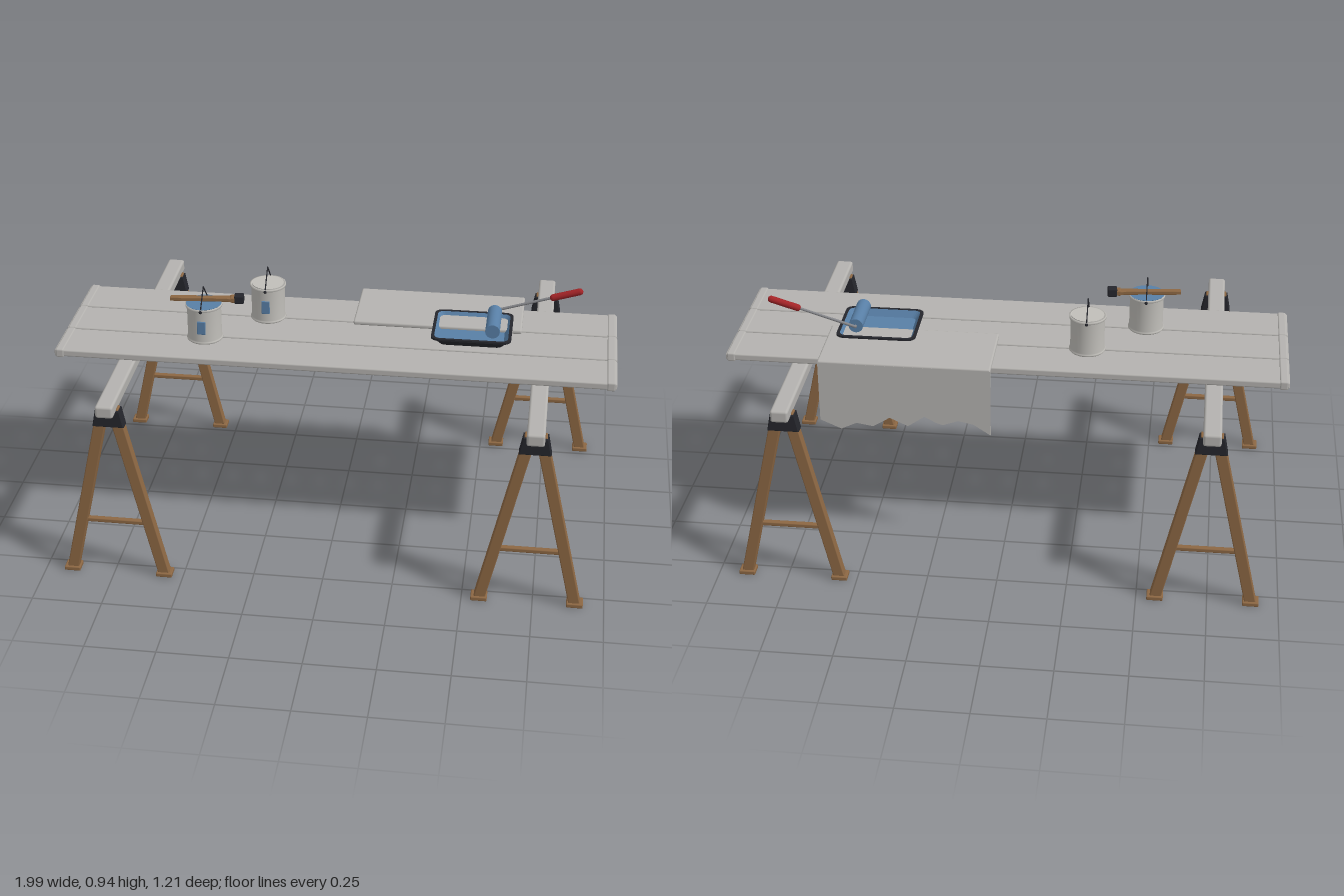
import * as THREE from 'three';
import { RoundedBoxGeometry } from 'three/addons/geometries/RoundedBoxGeometry.js';

const mat = (name, color, side = THREE.FrontSide) => {
  const m = new THREE.MeshStandardMaterial({ color, side });
  m.name = name;
  return m;
};

export function createModel() {
  const root = new THREE.Group();
  root.name = 'paintingTable';
  const board = mat('greyBoard', 0xb4b2af);
  const wood = mat('brownWood', 0x8c6743);
  const dark = mat('darkPlastic', 0x25262c, THREE.DoubleSide);
  const tin = mat('paleTin', 0xc0beb9);
  const cloth = mat('dustSheet', 0xb5b3b0, THREE.DoubleSide);
  const paint = mat('bluePaint', 0x587fa6, THREE.DoubleSide);
  const steel = mat('steelWire', 0x85868a);
  const red = mat('redGrip', 0xa32427);

  const add = (parent, name, geo, material, x = 0, y = 0, z = 0) => {
    const m = new THREE.Mesh(geo, material);
    m.name = name;
    m.position.set(x, y, z);
    parent.add(m);
    return m;
  };
  const group = (name, x = 0, y = 0, z = 0) => {
    const g = new THREE.Group();
    g.name = name;
    g.position.set(x, y, z);
    root.add(g);
    return g;
  };
  const box = (w, h, d, r = 0.004) => new RoundedBoxGeometry(w, h, d, 2, r);
  const V = (x, y, z) => new THREE.Vector3(x, y, z);
  // Places a y-aligned geometry between two points
  const span = (parent, name, make, material, a, b) => {
    const dir = b.clone().sub(a);
    const m = add(parent, name, make(dir.length()), material);
    m.position.copy(a).add(b).multiplyScalar(0.5);
    m.quaternion.setFromUnitVectors(V(0, 1, 0), dir.normalize());
    return m;
  };
  const rod = r => len => new THREE.CylinderGeometry(r, r, len, 10);

  // Planks with end bands
  for (const z of [-0.181, 0, 0.181]) {
    const plank = group('plank', 0, 0, z);
    add(plank, 'plankBoard', box(1.99, 0.026, 0.173, 0.006), board, 0, 0.727, 0);
    for (const s of [-1, 1])
      add(plank, 'endBand', box(0.03, 0.033, 0.178, 0.006), board, s * 0.975, 0.727, 0);
  }

  // Trestles: a rail carried by two A-frames
  const bracketShape = new THREE.Shape([
    new THREE.Vector2(-0.052, 0.61), new THREE.Vector2(0.052, 0.61),
    new THREE.Vector2(0.04, 0.67), new THREE.Vector2(-0.04, 0.67)]);
  const bracketGeo = new THREE.ExtrudeGeometry(bracketShape, {
    depth: 0.036, bevelSize: 0.003, bevelThickness: 0.003, bevelSegments: 1 });
  bracketGeo.translate(0, 0, -0.018);
  for (const x of [-0.735, 0.73]) {
    const trestle = group('trestle', x);
    add(trestle, 'rail', box(0.062, 0.045, 1.21, 0.009), board, 0, 0.688, 0);
    for (const z of [-0.54, 0.54]) {
      add(trestle, 'bracket', bracketGeo, dark, 0, 0, z);
      add(trestle, 'crossBar', box(0.225, 0.016, 0.02), wood, 0, 0.215, z);
      for (const s of [-1, 1]) {
        span(trestle, 'leg', l => box(0.04, l, 0.034), wood,
          V(s * 0.167, 0.01, z), V(s * 0.018, 0.675, z));
        add(trestle, 'foot', box(0.058, 0.016, 0.05), wood, s * 0.168, 0.008, z);
      }
    }
  }

  // Paint cans with wire handles
  const makeCan = (x, z, lid) => {
    const can = group('paintCan', x, 0.74, z);
    const profile = [[0, 0], [0.062, 0], [0.065, 0.003], [0.065, 0.008], [0.061, 0.011],
      [0.061, 0.126], [0.066, 0.129], [0.066, 0.137], [0.06, 0.137], [0.058, 0.131], [0, 0.131]];
    const pts = [];
    // Doubled points keep the edges crisp
    profile.forEach(([r, y]) => pts.push(new THREE.Vector2(r, y)));
    add(can, 'canBody', new THREE.LatheGeometry(pts, 32).toNonIndexed(), tin);
    add(can, 'canTop', new THREE.CylinderGeometry(lid === paint ? 0.064 : 0.058, 0.058, 0.006, 32), lid, 0, 0.1355, 0);
    add(can, 'label', box(0.03, 0.05, 0.008, 0.002), paint, 0, 0.066, 0.0615);
    for (const s of [-1, 1]) {
      span(can, 'wireHandle', rod(0.0022), dark, V(0, 0.132, s * 0.066), V(0, 0.2, 0));
      add(can, 'handleEar', new THREE.SphereGeometry(0.006, 10, 8), dark, 0, 0.13, s * 0.066);
    }
  };
  makeCan(-0.48, 0.1, paint);
  makeCan(-0.28, -0.093, tin);

  // Brush lying across the front can
  const brush = group('brush', -0.47, 0.889, 0.088);
  brush.rotation.y = 0.1;
  const handle = new THREE.Shape();
  handle.moveTo(-0.13, -0.007);
  handle.bezierCurveTo(-0.08, -0.015, -0.02, -0.004, 0.09, -0.014);
  handle.lineTo(0.09, 0.014);
  handle.bezierCurveTo(-0.02, 0.004, -0.08, 0.015, -0.13, 0.007);
  handle.closePath();
  const handleGeo = new THREE.ExtrudeGeometry(handle, {
    depth: 0.01, bevelSize: 0.002, bevelThickness: 0.002, bevelSegments: 2 });
  handleGeo.translate(0, 0, -0.005);
  add(brush, 'brushHandle', handleGeo, wood).rotation.x = -Math.PI / 2;
  add(brush, 'ferrule', box(0.018, 0.02, 0.032), wood, 0.093, 0, 0);
  add(brush, 'bristles', box(0.034, 0.03, 0.034), dark, 0.115, 0.001, 0);

  // Dust sheet: flat top and a hanging flap with a wavy hem
  const sheet = group('dustSheet');
  add(sheet, 'sheetTop', box(0.612, 0.017, 0.28, 0.007), cloth, 0.346, 0.755, -0.19);
  const flap = new THREE.Shape();
  flap.moveTo(0.65, 0.757);
  flap.lineTo(0.04, 0.757);
  [[0.04, 0.5], [0.1, 0.54], [0.155, 0.552], [0.21, 0.532], [0.235, 0.54], [0.275, 0.562], [0.335, 0.52],
    [0.4, 0.55], [0.46, 0.512], [0.52, 0.522], [0.575, 0.495], [0.65, 0.528]].forEach(p => flap.lineTo(...p));
  flap.closePath();
  add(sheet, 'sheetFlap', new THREE.ExtrudeGeometry(flap, { depth: 0.007, bevelEnabled: false }),
    cloth, 0, 0, -0.33);

  // Roller tray, lofted from rounded rectangles
  const ring = (w, d, r, y) => {
    const out = [];
    for (let c = 0; c < 4; c++)
      for (let i = 0; i <= 4; i++) {
        const a = (c + i / 4) * Math.PI / 2;
        const sx = c === 0 || c === 3 ? 1 : -1, sz = c < 2 ? 1 : -1;
        out.push([sx * (w / 2 - r) + r * Math.cos(a), y, sz * (d / 2 - r) + r * Math.sin(a)]);
      }
    return out;
  };
  const loft = rings => {
    const n = rings[0].length, pos = [];
    for (let k = 0; k + 1 < rings.length; k++)
      for (let i = 0; i < n; i++) {
        const j = (i + 1) % n, [a, b, c, d] = [rings[k][i], rings[k + 1][i], rings[k + 1][j], rings[k][j]];
        pos.push(...a, ...b, ...c, ...a, ...c, ...d);
      }
    const g = new THREE.BufferGeometry();
    g.setAttribute('position', new THREE.Float32BufferAttribute(pos, 3));
    g.computeVertexNormals();
    return g;
  };
  const tray = group('rollerTray', 0.475, 0, -0.039);
  add(tray, 'trayShell', loft([ring(0.002, 0.002, 0.001, 0.742), ring(0.225, 0.185, 0.02, 0.742),
    ring(0.272, 0.228, 0.025, 0.77), ring(0.286, 0.242, 0.028, 0.77), ring(0.286, 0.242, 0.028, 0.777),
    ring(0.264, 0.22, 0.022, 0.777)]), dark);
  add(tray, 'trayPaint', loft([ring(0.264, 0.22, 0.022, 0.776), ring(0.232, 0.19, 0.018, 0.752),
    ring(0.002, 0.002, 0.001, 0.752)]), paint);

  // Paint roller resting in the tray
  const roller = group('paintRoller', 0.55, 0.8, 0);
  const sleeve = add(roller, 'rollerSleeve', new THREE.CylinderGeometry(0.026, 0.026, 0.165, 24), paint, 0, 0, -0.037);
  sleeve.rotation.x = Math.PI / 2;
  span(roller, 'rollerAxle', rod(0.005), steel, V(0, 0, -0.11), V(0, 0, -0.129));
  span(roller, 'rollerRod', rod(0.005), steel, V(-0.002, 0, -0.127), V(0.21, 0.067, -0.127));
  span(roller, 'rollerGrip', l => new THREE.CapsuleGeometry(0.0125, l - 0.025, 6, 16), red,
    V(0.195, 0.062, -0.127), V(0.312, 0.098, -0.127));

  return root;
}
